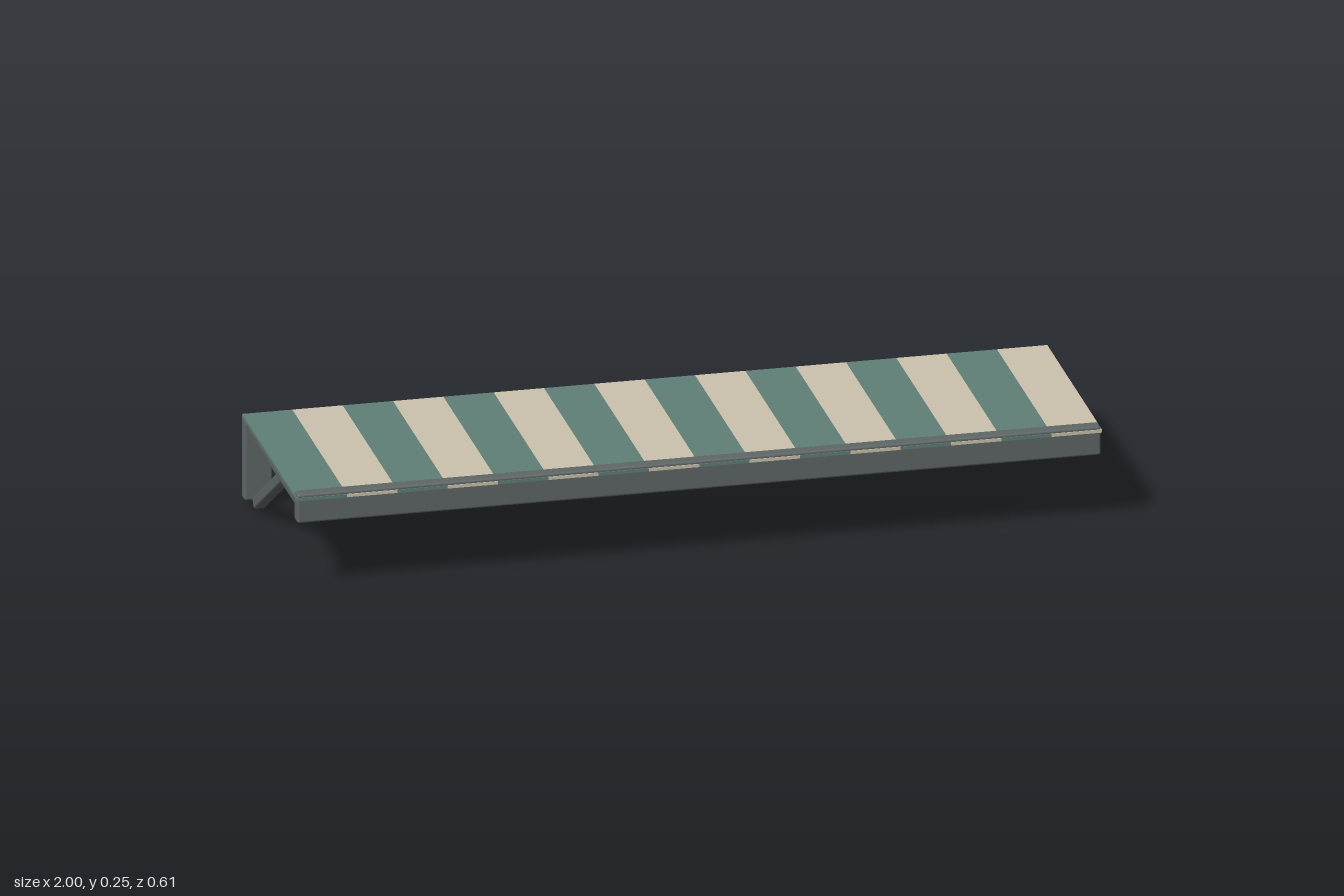
import * as THREE from 'three';
import { RoundedBoxGeometry } from 'three/addons/geometries/RoundedBoxGeometry.js';

export function createModel() {
  const model = new THREE.Group();
  model.name = 'awning';

  const material = (name, color) => {
    const m = new THREE.MeshStandardMaterial({ color });
    m.name = name;
    return m;
  };
  const metal = material('grey metal', 0x5f6666);
  const green = material('green fabric', 0x5f7f75);
  const cream = material('cream fabric', 0xcbc2ac);

  const add = (parent, name, geometry, mat, x, y, z) => {
    const mesh = new THREE.Mesh(geometry, mat);
    mesh.name = name;
    mesh.position.set(x, y, z);
    parent.add(mesh);
    return mesh;
  };
  const bar = (w, h, d, r = 0.006) => new RoundedBoxGeometry(w, h, d, 3, r);

  // Striped canopy, alternating from the right end
  const canopy = new THREE.Group();
  canopy.name = 'canopy';
  model.add(canopy);
  const count = 16;
  const width = 2 / count;
  const stripe = new THREE.BoxGeometry(width, 0.008, 0.578);
  for (let i = 0; i < count; i++) {
    add(canopy, 'stripe', stripe, i % 2 ? cream : green, -1 + (i + 0.5) * width, 0.243, 0.014);
  }

  // Front rail
  add(model, 'frontRail', bar(1.996, 0.075, 0.034), metal, 0, 0.2175, 0.284);

  // Wall plate, arm and diagonal brace at each end
  const braceTop = new THREE.Vector3(0, 0.2005, 0.027);
  const braceFoot = new THREE.Vector3(0, 0.014, -0.27);
  const braceMiddle = braceTop.clone().add(braceFoot).multiplyScalar(0.5);
  const braceDirection = braceTop.clone().sub(braceFoot);
  for (const side of [-1, 1]) {
    const bracket = new THREE.Group();
    bracket.name = side > 0 ? 'leftBracket' : 'rightBracket';
    bracket.position.x = side * 0.96;
    model.add(bracket);
    add(bracket, 'wallPlate', bar(0.07, 0.212, 0.032), metal, 0, 0.128, -0.286);
    add(bracket, 'arm', bar(0.045, 0.049, 0.56), metal, 0, 0.2165, -0.003);
    const brace = add(bracket, 'brace', bar(0.03, 0.03, braceDirection.length()), metal,
      0, braceMiddle.y, braceMiddle.z);
    brace.rotation.x = -Math.atan2(braceDirection.y, braceDirection.z);
  }

  return model;
}
